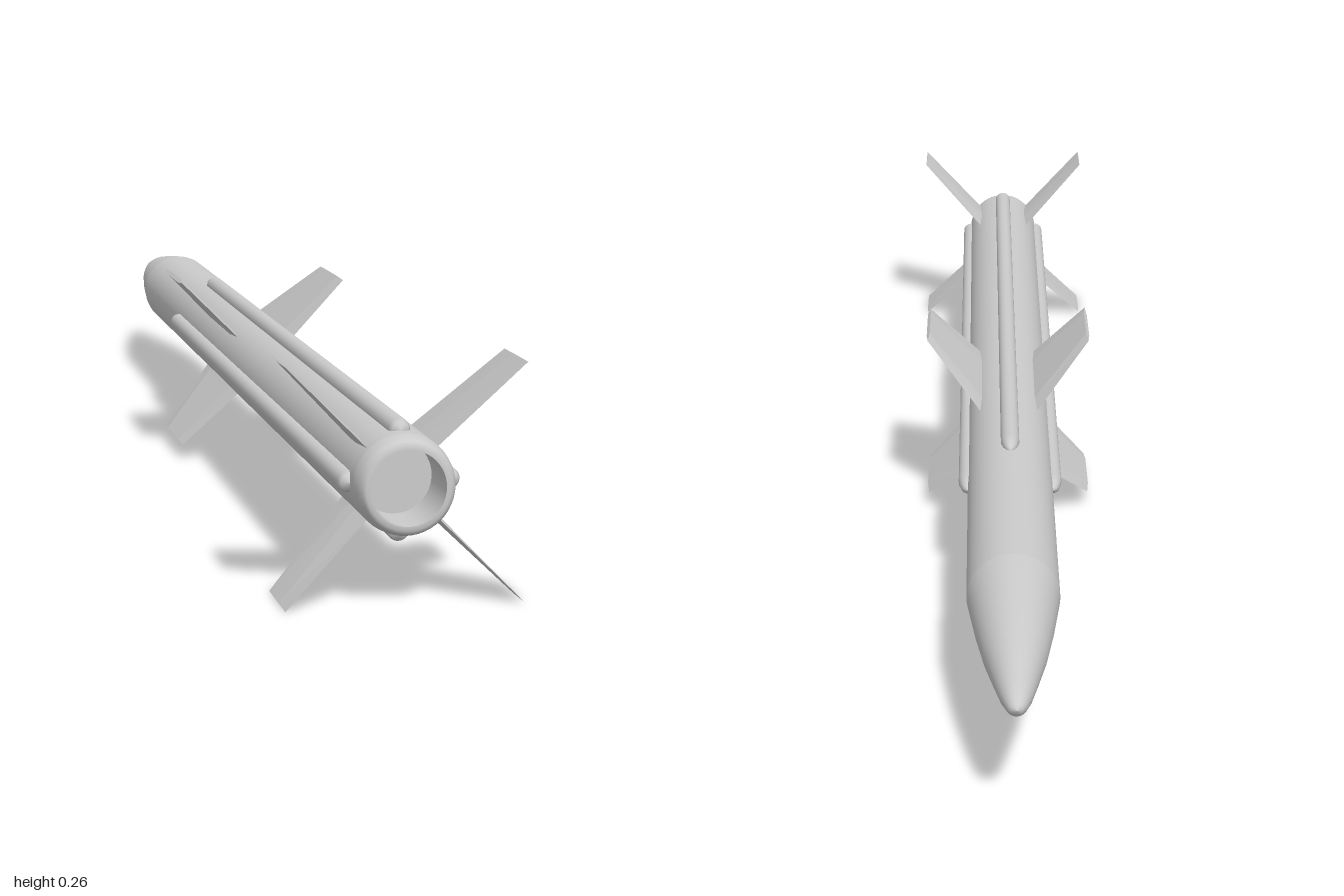
import * as THREE from 'three';

const material = new THREE.MeshStandardMaterial({ color: 0xcccccc });
const AXIS_Y = 0.13;
const BODY_R = 0.055;

// Turned part along z; profile points are [radius, z], rising z faces outward
function turned(name, profile, segments) {
  const geo = new THREE.LatheGeometry(profile.map(([r, z]) => new THREE.Vector2(r, z)), segments);
  geo.rotateX(Math.PI / 2);
  const mesh = new THREE.Mesh(geo, material);
  mesh.name = name;
  return mesh;
}

// Fin along +x with a bevelled six-sided section; root and tip: { r, front, back, t, bevel }
function finGeometry(root, tip) {
  const section = ({ r, front, back, t, bevel }) => [
    [r, 0, front], [r, t, front + bevel], [r, t, back - bevel],
    [r, 0, back], [r, -t, back - bevel], [r, -t, front + bevel],
  ];
  const a = section(root), b = section(tip), pos = [];
  for (let i = 0; i < 6; i++) {
    const j = (i + 1) % 6;
    pos.push(...a[i], ...a[j], ...b[j], ...a[i], ...b[j], ...b[i]);
  }
  for (let k = 1; k < 5; k++) pos.push(...b[0], ...b[k], ...b[k + 1]);
  const geo = new THREE.BufferGeometry();
  geo.setAttribute('position', new THREE.Float32BufferAttribute(pos, 3));
  geo.computeVertexNormals();
  return geo;
}

// Four copies of a geometry around the body axis
function ring(name, geo, startAngle) {
  const group = new THREE.Group();
  group.name = name + 's';
  for (let i = 0; i < 4; i++) {
    const mesh = new THREE.Mesh(geo, material);
    mesh.name = name;
    mesh.rotation.z = startAngle + i * Math.PI / 2;
    group.add(mesh);
  }
  return group;
}

export function createModel() {
  const model = new THREE.Group();
  model.name = 'missile';
  model.position.y = AXIS_Y;

  // Nose, hull and hollow exhaust
  model.add(
    turned('noseCone', [[0, -1], [0.007, -0.997], [0.012, -0.988], [0.018, -0.965], [0.026, -0.92],
      [0.036, -0.86], [0.046, -0.78], [BODY_R, -0.69]], 48),
    turned('body', [[BODY_R, -0.69], [BODY_R, 0.975]], 48),
    turned('tailRim', [[BODY_R, 0.975], [0.0535, 0.987], [0.05, 0.997], [0.046, 1], [0.041, 1]], 48),
    turned('exhaustWall', [[0.041, 1], [0.041, 0.93]], 48),
    turned('exhaustFloor', [[0.041, 0.93], [0, 0.93]], 48),
  );

  // Long conduits half sunk into the hull
  const conduit = new THREE.LatheGeometry([[0, -0.335], [0.005, -0.332], [0.009, -0.322], [0.012, -0.305],
    [0.012, 0.95], [0.009, 0.957], [0, 0.96]].map(([r, z]) => new THREE.Vector2(r, z)), 20);
  conduit.rotateX(Math.PI / 2).translate(BODY_R, 0, 0);
  model.add(ring('conduit', conduit, 0));

  // Mid-body wings and tail fins, set in an X
  const wing = finGeometry(
    { r: 0.05, front: -0.135, back: 0.137, t: 0.0035, bevel: 0.05 },
    { r: 0.157, front: -0.045, back: 0.115, t: 0.003, bevel: 0.03 });
  model.add(ring('wing', wing, Math.PI / 4));

  const tailFin = finGeometry(
    { r: 0.05, front: 0.838, back: 0.968, t: 0.0035, bevel: 0.05 },
    { r: 0.184, front: 0.893, back: 0.99, t: 0.0006, bevel: 0.035 });
  model.add(ring('tailFin', tailFin, Math.PI / 4));

  const root = new THREE.Group();
  root.add(model);
  return root;
}
